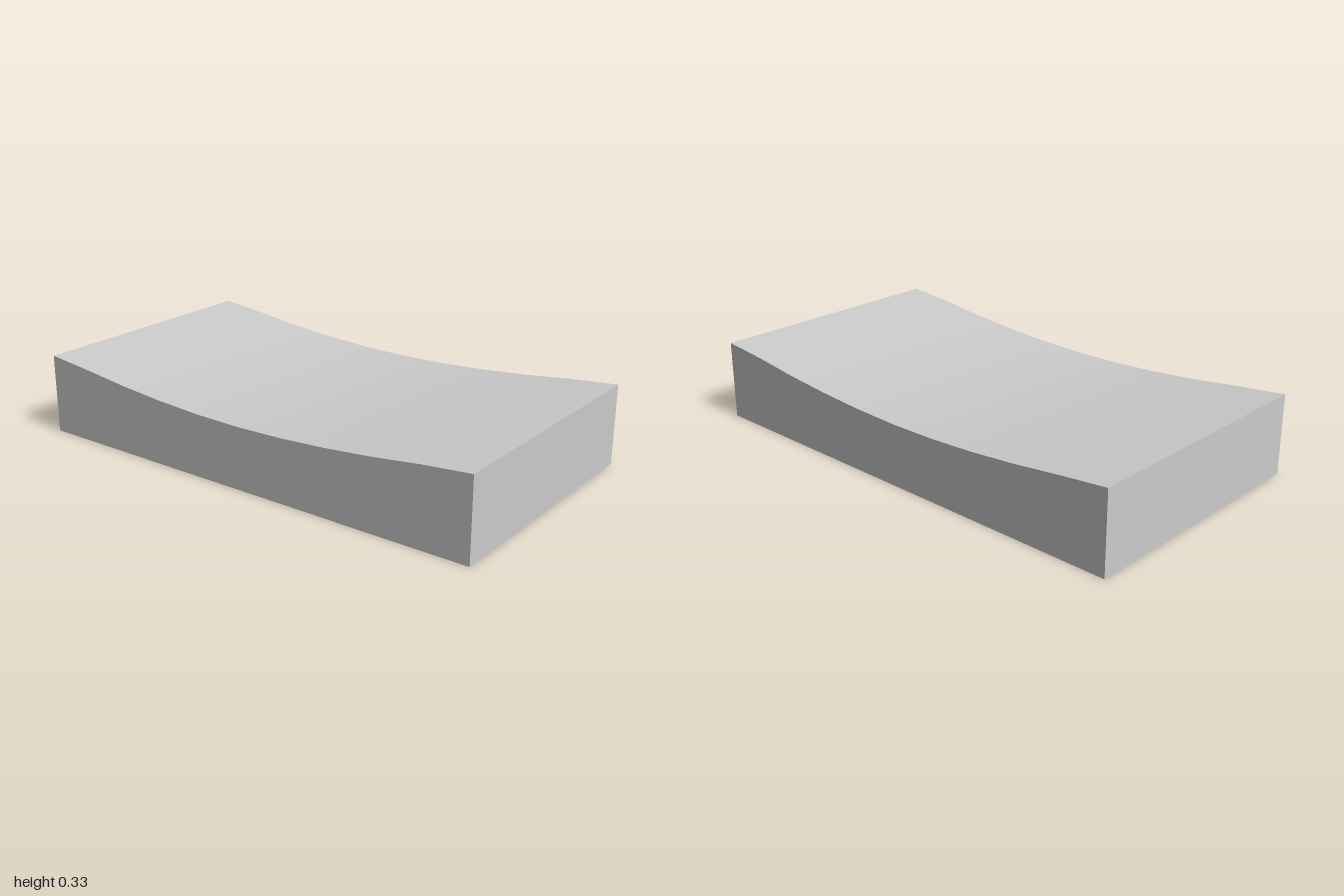
import * as THREE from 'three';

const WIDTH = 2, DEPTH = 1.076;          // outer footprint
const WALL_X = 0.15, WALL_Z = 0.075;     // rim thickness at the ends and long sides
const RECESS = 0.21;                     // depth of the pocket underneath

// Height of the dished top at equal steps along x
const HEIGHTS = [0.33, 0.309, 0.285, 0.267, 0.256, 0.253, 0.258, 0.27, 0.288, 0.312, 0.33];

// Box without its bottom face (the fourth face group)
function openBox(w, h, d, segments) {
  const geo = new THREE.BoxGeometry(w, h, d, segments, 1, 1).translate(0, h / 2, 0);
  const { start, count } = geo.groups[3];
  const index = Array.from(geo.index.array);
  index.splice(start, count);
  geo.setIndex(index);
  geo.clearGroups();
  return geo;
}

// Rectangle outline, used for the rim and its opening
function rectangle(path, w, d) {
  path.moveTo(-w / 2, -d / 2);
  path.lineTo(w / 2, -d / 2);
  path.lineTo(w / 2, d / 2);
  path.lineTo(-w / 2, d / 2);
  path.closePath();
  return path;
}

export function createModel() {
  const group = new THREE.Group();
  group.name = 'dishedBlock';
  const material = new THREE.MeshStandardMaterial({ color: 0xcccccc });
  const add = (name, geo) => {
    const mesh = new THREE.Mesh(geo, material);
    mesh.name = name;
    group.add(mesh);
  };

  // Outer shell: upper vertices follow the concave curve
  const steps = HEIGHTS.length - 1;
  const shell = openBox(WIDTH, 1, DEPTH, steps);
  const pos = shell.attributes.position;
  for (let i = 0; i < pos.count; i++) {
    if (pos.getY(i) > 0.5) {
      pos.setY(i, HEIGHTS[Math.round((pos.getX(i) / WIDTH + 0.5) * steps)]);
    }
  }
  shell.computeVertexNormals();
  add('shell', shell);

  // Pocket underneath: an open box mirrored so that it faces inwards
  const innerW = WIDTH - 2 * WALL_X, innerD = DEPTH - 2 * WALL_Z;
  const pocket = openBox(innerW, RECESS, innerD, 1).scale(-1, 1, 1);
  pocket.computeVertexNormals();
  add('pocket', pocket);

  // Flat rim the block stands on, facing down
  const rim = rectangle(new THREE.Shape(), WIDTH, DEPTH);
  rim.holes.push(rectangle(new THREE.Path(), innerW, innerD));
  add('bottomRim', new THREE.ShapeGeometry(rim).rotateX(Math.PI / 2));

  return group;
}
